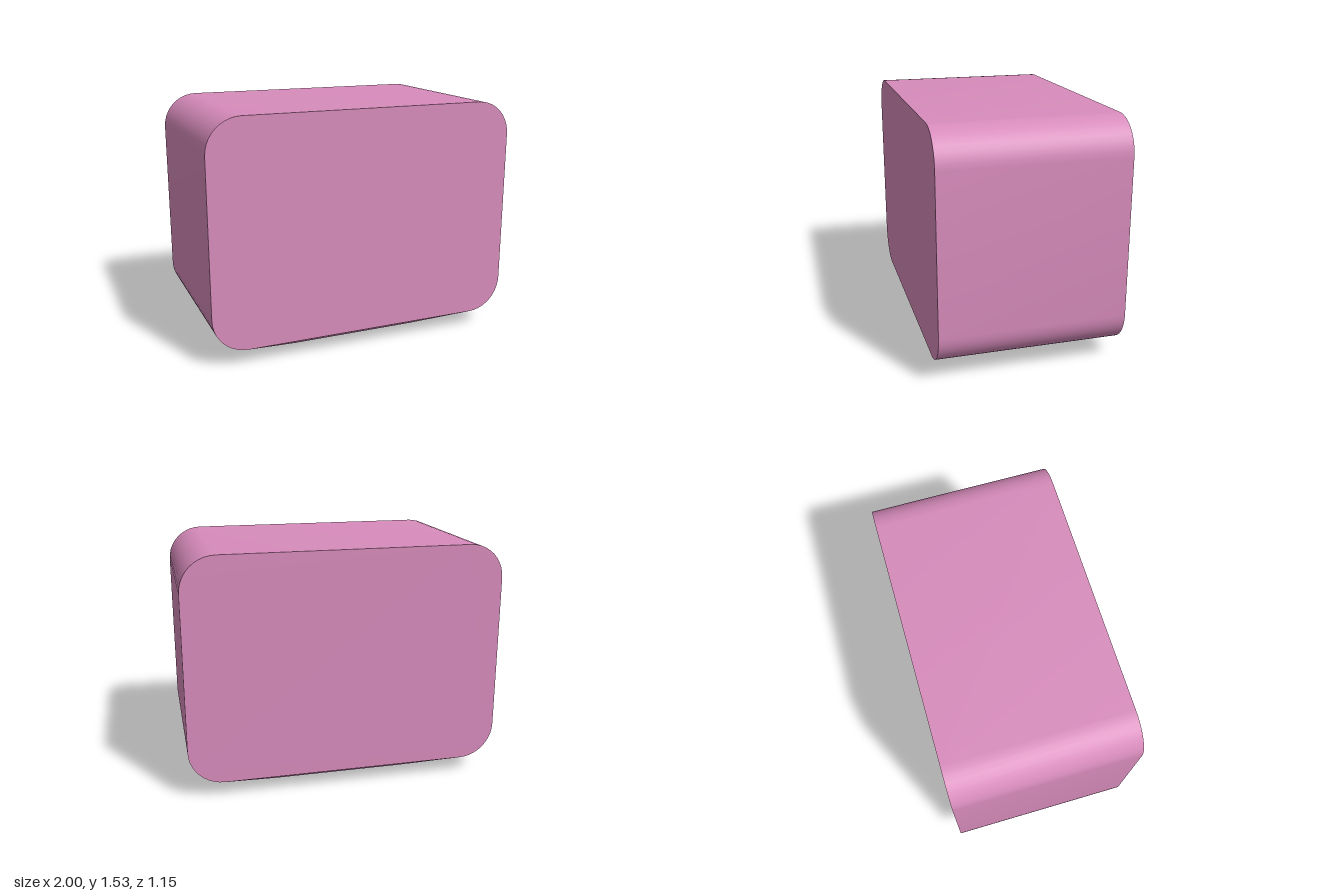
import * as THREE from 'three';
import { toCreasedNormals } from 'three/addons/utils/BufferGeometryUtils.js';

const HALF_W = 1, BOTTOM = 0.105, TOP = 1.53, DEPTH = 1.154, RADIUS = 0.22;

// Rectangle with four rounded corners, drawn anticlockwise
function roundedRect(x0, y0, x1, y1, r) {
  const s = new THREE.Shape();
  s.absarc(x1 - r, y0 + r, r, -Math.PI / 2, 0);
  s.absarc(x1 - r, y1 - r, r, 0, Math.PI / 2);
  s.absarc(x0 + r, y1 - r, r, Math.PI / 2, Math.PI);
  s.absarc(x0 + r, y0 + r, r, Math.PI, Math.PI * 1.5);
  s.closePath();
  return s;
}

// Box whose lower face is narrowed to a smaller rectangle
function taperedBox(topW, topD, bottomW, bottomD, height) {
  const g = new THREE.BoxGeometry(topW, height, topD);
  const p = g.attributes.position;
  for (let i = 0; i < p.count; i++) {
    if (p.getY(i) < 0) {
      p.setX(i, Math.sign(p.getX(i)) * bottomW / 2);
      p.setZ(i, Math.sign(p.getZ(i)) * bottomD / 2);
    }
  }
  g.translate(0, height / 2, 0);
  g.computeVertexNormals();
  return g;
}

export function createModel() {
  const group = new THREE.Group();
  const pink = new THREE.MeshStandardMaterial({ color: 0xd88cbc });

  // Main block with rounded side edges and flat front and back
  const shape = roundedRect(-HALF_W, BOTTOM, HALF_W, TOP, RADIUS);
  const bodyGeo = new THREE.ExtrudeGeometry(shape, { depth: DEPTH, bevelEnabled: false, curveSegments: 5 });
  bodyGeo.translate(0, 0, -DEPTH / 2);
  const body = new THREE.Mesh(toCreasedNormals(bodyGeo, 0.6), pink);
  body.name = 'body';

  // Shallow foot tapering down to the ground
  const base = new THREE.Mesh(taperedBox(2 * (HALF_W - RADIUS), DEPTH, 0.84, 0.77, BOTTOM), pink);
  base.name = 'taperedBase';

  group.add(body, base);
  return group;
}
